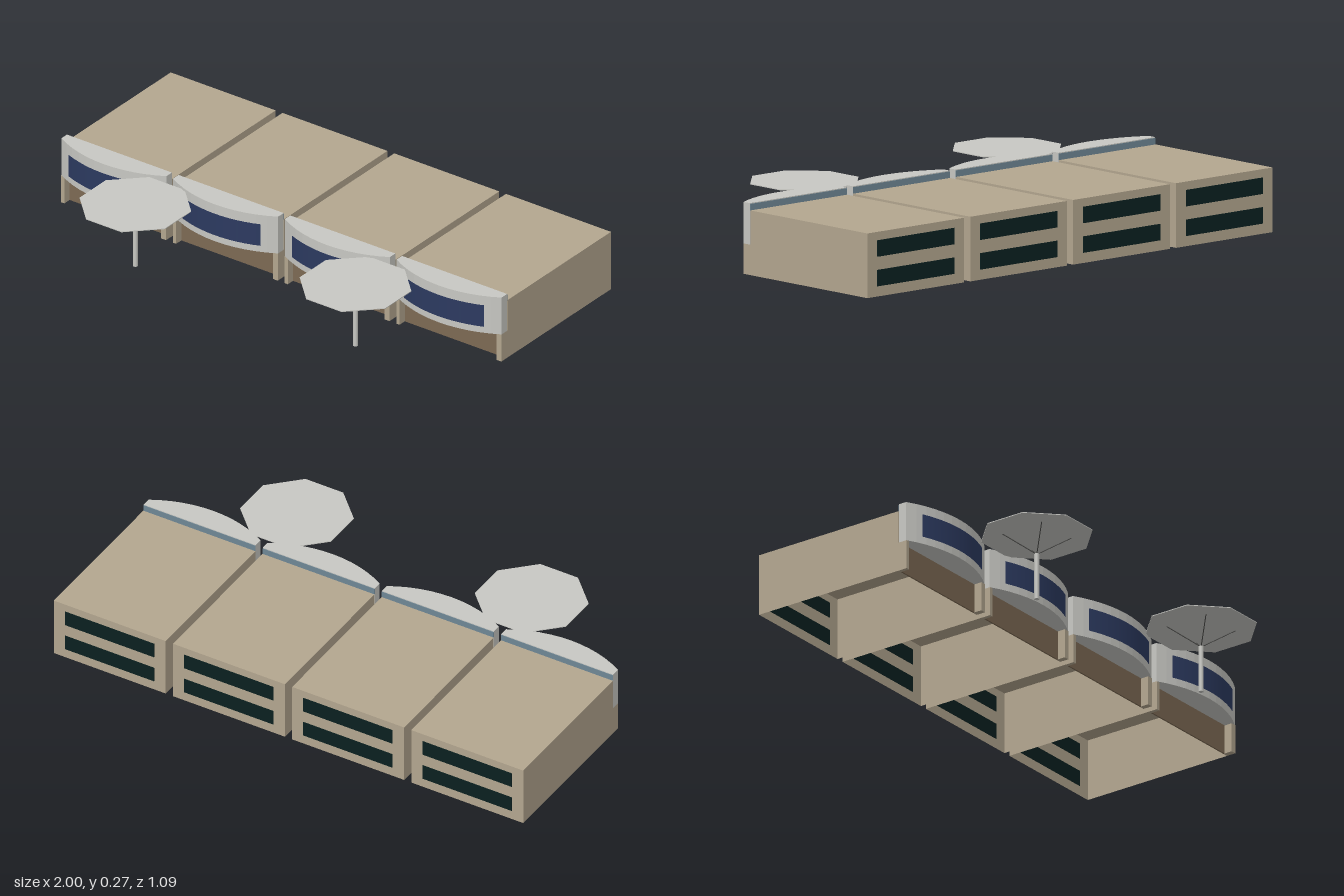
import * as THREE from 'three';

const mat = (name, color, side = THREE.FrontSide) => {
  const m = new THREE.MeshStandardMaterial({ color, side });
  m.name = name;
  return m;
};

export function createModel() {
  const tan = mat('tan wall', 0xb3a68f, THREE.DoubleSide);
  const brown = mat('brown front', 0x7d6a54);
  const grey = mat('light grey', 0xc8c8c3, THREE.DoubleSide);
  const navy = mat('navy glass', 0x2c3a60, THREE.DoubleSide);
  const dark = mat('dark back glass', 0x0a2020);
  const slate = mat('slate blue', 0x6f8795);
  const steel = mat('dark steel', 0x4a4a48);

  const model = new THREE.Group();
  model.name = 'kioskRow';

  const add = (parent, name, geometry, material, x = 0, y = 0, z = 0) => {
    const m = new THREE.Mesh(geometry, material);
    m.name = name;
    m.position.set(x, y, z);
    parent.add(m);
    return m;
  };
  // Box given by its min and max corners
  const block = (parent, name, material, [x0, y0, z0], [x1, y1, z1]) =>
    add(parent, name, new THREE.BoxGeometry(x1 - x0, y1 - y0, z1 - z0), material,
      (x0 + x1) / 2, (y0 + y1) / 2, (z0 + z1) / 2);

  const W = 0.477, H = W / 2, pitch = (2 - W) / 3;
  const back = -0.542, front = 0.093;

  // Bowed fascia: arc through the two ends and the middle
  const endZ = 0.129, apexZ = 0.193, sag = apexZ - endZ;
  const R = (H * H + sag * sag) / (2 * sag);
  const arcZ = apexZ - R;
  const half = Math.asin(H / R);

  // Shell without a floor
  const shellGeo = new THREE.BoxGeometry(W, 0.24, front - back);
  const idx = Array.from(shellGeo.index.array);
  idx.splice(18, 6);
  shellGeo.setIndex(idx);
  shellGeo.clearGroups();

  // Fascia plan (shape y is -z, so that the extrusion rises along +y)
  const plan = new THREE.Shape();
  plan.moveTo(H, -front - 0.002);
  plan.lineTo(-H, -front - 0.002);
  plan.lineTo(-H, -endZ);
  for (let i = 1; i <= 12; i++) {
    const a = -half + (2 * half * i) / 12;
    plan.lineTo(R * Math.sin(a), -(arcZ + R * Math.cos(a)));
  }
  plan.closePath();
  const fasciaGeo = new THREE.ExtrudeGeometry(plan, { depth: 0.154, bevelEnabled: false });
  fasciaGeo.rotateX(-Math.PI / 2);

  // Curved window following the fascia
  const wr = R + 0.003, wa = Math.asin(0.182 / wr);
  const windowGeo = new THREE.CylinderGeometry(wr, wr, 0.09, 12, 1, true, -wa, 2 * wa);

  for (let i = 0; i < 4; i++) {
    const unit = new THREE.Group();
    unit.name = 'kiosk';
    unit.position.x = -1 + H + i * pitch;
    model.add(unit);

    add(unit, 'shell', shellGeo, tan, 0, 0.12, (front + back) / 2);
    add(unit, 'fascia', fasciaGeo, grey, 0, 0.113, 0);
    add(unit, 'frontWindow', windowGeo, navy, 0, 0.185, arcZ);
    block(unit, 'parapetBack', slate, [-H, 0.24, front], [H, 0.264, front + 0.002]);
    block(unit, 'counterFront', brown, [-H + 0.015, 0, front], [H - 0.022, 0.113, front + 0.006]);
    block(unit, 'postRight', tan, [-H, 0, front], [-H + 0.015, 0.113, 0.131]);
    block(unit, 'postLeft', tan, [H - 0.022, 0, front], [H, 0.113, 0.131]);
    for (const y of [0.038, 0.148])
      block(unit, 'backWindow', dark, [-0.19, y, back - 0.002], [0.19, y + 0.061, back + 0.001]);
  }

  // Free-standing octagonal canopies
  const roofGeo = new THREE.CylinderGeometry(0.21, 0.21, 0.003, 8).toNonIndexed();
  roofGeo.rotateY(Math.PI / 8);
  roofGeo.computeVertexNormals();
  const poleGeo = new THREE.CylinderGeometry(0.0095, 0.0095, 0.182, 12);
  const up = new THREE.Vector3(0, 1, 0);

  for (const side of [-1, 1]) {
    const canopy = new THREE.Group();
    canopy.name = 'canopy';
    canopy.position.set(side * 0.5, 0, 0.35);
    model.add(canopy);
    add(canopy, 'canopyRoof', roofGeo, grey, 0, 0.255, 0);
    add(canopy, 'canopyPole', poleGeo, grey, 0, 0.091, 0);
    // Diagonal braces from pole top to roof
    for (const sx of [-1, 1]) for (const sz of [-1, 1]) {
      const foot = new THREE.Vector3(0, 0.181, 0);
      const dir = new THREE.Vector3(sx * 0.09, 0.255, sz * 0.09).sub(foot);
      const strut = add(canopy, 'canopyStrut', new THREE.CylinderGeometry(0.002, 0.002, dir.length(), 6), steel);
      strut.position.copy(foot).addScaledVector(dir, 0.5);
      strut.quaternion.setFromUnitVectors(up, dir.clone().normalize());
    }
  }
  return model;
}
